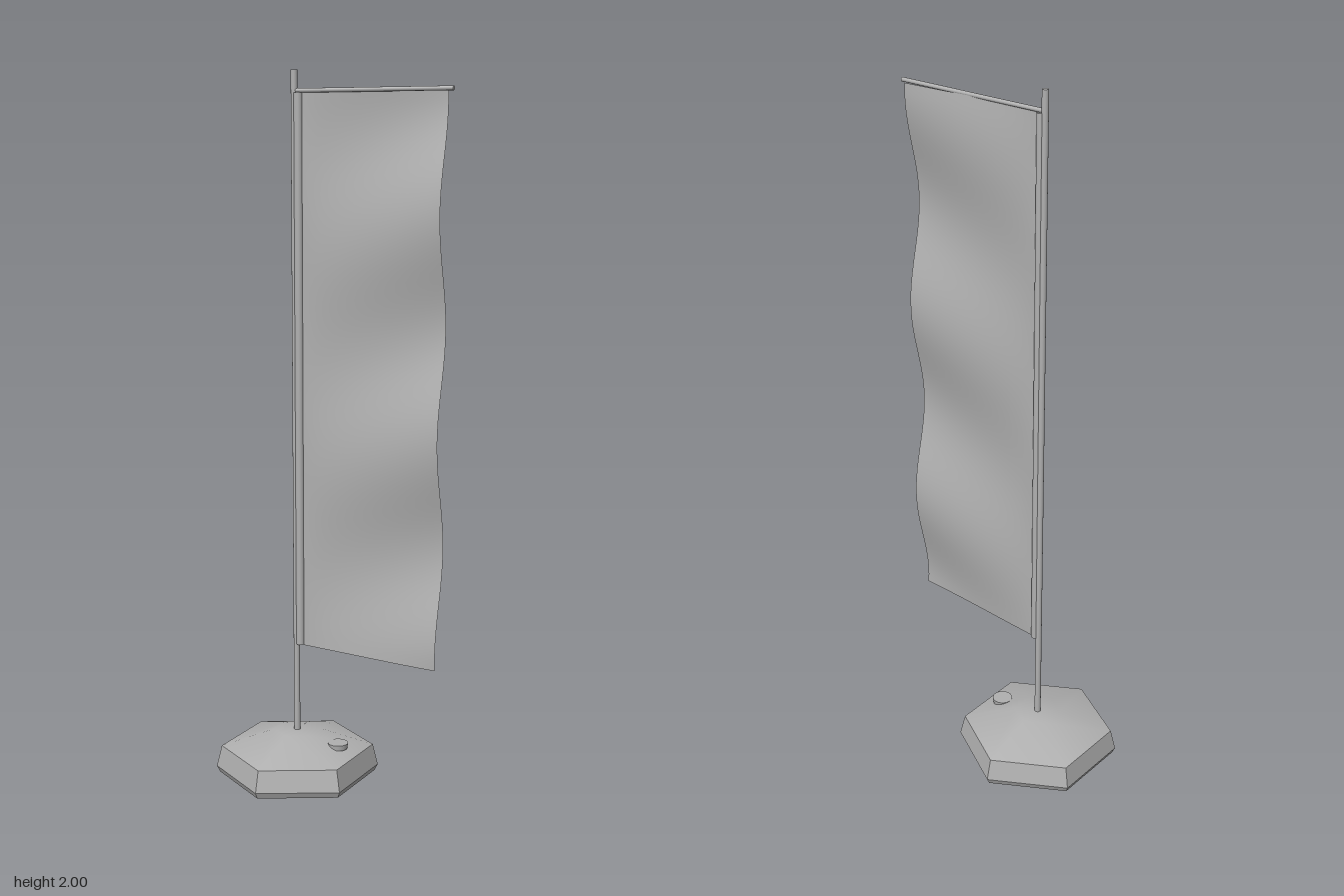
import * as THREE from 'three';

export function createModel() {
  const root = new THREE.Group();
  const grey = new THREE.MeshStandardMaterial({ color: 0xb0b0b0, side: THREE.DoubleSide });
  grey.name = 'grey';
  const POLE_X = -0.135;

  const add = (name, geometry, x, y, z = 0) => {
    const mesh = new THREE.Mesh(geometry, grey);
    mesh.name = name;
    mesh.position.set(x, y, z);
    root.add(mesh);
    return mesh;
  };
  const hexLathe = (points) =>
    new THREE.LatheGeometry(points.map(([r, y]) => new THREE.Vector2(r, y)), 6);

  // Hollow hexagonal foot: faceted walls and a smooth sloping top
  const walls = hexLathe([[0.226, 0], [0.235, 0.018], [0.22, 0.08]]).toNonIndexed();
  walls.computeVertexNormals();
  add('baseWalls', walls, POLE_X, 0);
  add('baseTop', hexLathe([[0.22, 0.08], [0.068, 0.13], [0, 0.13]]), POLE_X, 0);

  // Filler cap on the foot
  add('fillerCap', new THREE.CylinderGeometry(0.029, 0.027, 0.016, 24), 0, 0.105);

  // Upright pole and horizontal top rod
  add('pole', new THREE.CylinderGeometry(0.009, 0.009, 1.89, 16), POLE_X, 1.055);
  const rod = add('topRod', new THREE.CylinderGeometry(0.006, 0.006, 0.472, 12), 0.101, 1.945);
  rod.rotation.z = Math.PI / 2;

  // Sleeve that holds the cloth beside the pole
  add('sleeve', new THREE.CylinderGeometry(0.012, 0.012, 1.55, 16, 1, true), -0.123, 1.165);

  // Rippling cloth, the waves growing towards the free edge
  const width = 0.427, height = 1.555;
  const cloth = new THREE.PlaneGeometry(width, height, 16, 56);
  cloth.translate(-0.112 + width / 2, 0.388 + height / 2, 0);
  const p = cloth.attributes.position;
  for (let i = 0; i < p.count; i++) {
    const u = (p.getX(i) + 0.112) / width;
    const wave = Math.cos((p.getY(i) - 1.02) * Math.PI * 2 / 0.6 + 1.5 * (1 - u));
    p.setZ(i, 0.023 * Math.pow(u, 0.7) * wave + 0.005 * u);
  }
  cloth.computeVertexNormals();
  add('cloth', cloth, 0, 0);

  return root;
}
